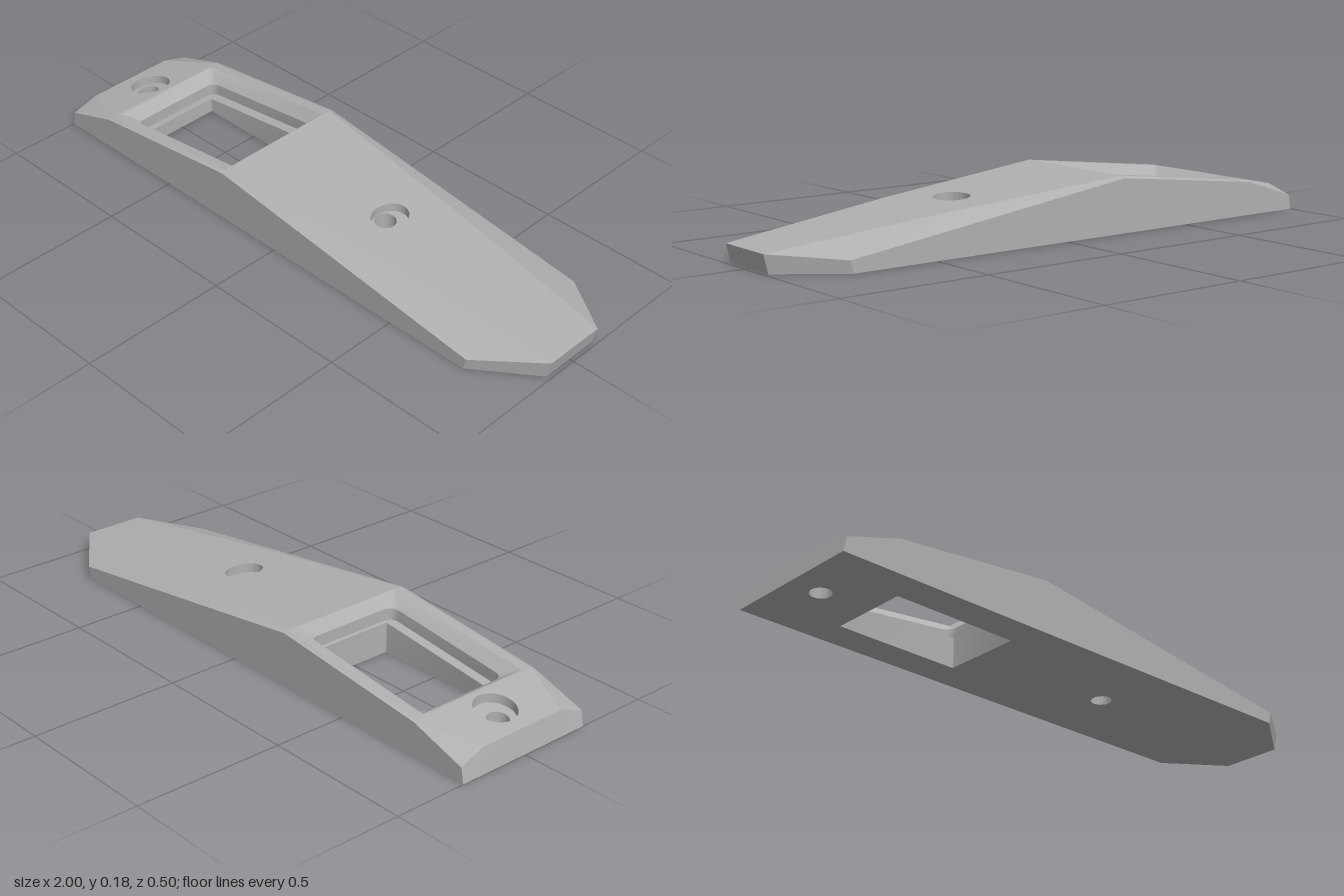
import * as THREE from 'three';
import { toCreasedNormals } from 'three/addons/utils/BufferGeometryUtils.js';

const V = (x, y, z) => new THREE.Vector3(x, y, z);
const mirror = (p) => V(p.x, p.y, -p.z);

// Crown line of the top skin: [x, height, half width]
const ridge = [[-0.985, 0.08, 0.16], [-0.8, 0.117, 0.238], [-0.235, 0.184, 0.235], [0.4, 0.126, 0.172], [1, 0.06, 0.107]]
  .map((a) => V(...a));
// Shoulder line where the top meets the side walls
const shoulder = [[-0.99, 0.05, 0.25], [-0.8, 0.112, 0.25], [-0.235, 0.178, 0.25], [0.4, 0.093, 0.25], [0.8, 0.04, 0.25]]
  .map((a) => V(...a));

// Height of the crown at x
function topY(x) {
  let i = 0;
  while (i < ridge.length - 2 && x > ridge[i + 1].x) i++;
  const a = ridge[i], b = ridge[i + 1];
  return a.y + (b.y - a.y) * (x - a.x) / (b.x - a.x);
}

// Strips of quads between successive loops of points
function loft(loops, closed) {
  const pos = [];
  for (let k = 0; k < loops.length - 1; k++) {
    const lo = loops[k], hi = loops[k + 1], n = lo.length;
    for (let i = 0; i < (closed ? n : n - 1); i++) {
      const j = (i + 1) % n;
      for (const p of [lo[i], lo[j], hi[j], lo[i], hi[j], hi[i]]) pos.push(p.x, p.y, p.z);
    }
  }
  const g = new THREE.BufferGeometry();
  g.setAttribute('position', new THREE.Float32BufferAttribute(pos, 3));
  return toCreasedNormals(g, 0.5);
}

// Filled outline with holes, laid on a height rule
function face(outline, holes, height, down = false) {
  const flat = (pts) => pts.map((p) => new THREE.Vector2(p.x, -p.z));
  const shape = new THREE.Shape(flat(outline));
  holes.forEach((h) => shape.holes.push(new THREE.Path(flat(h))));
  const g = new THREE.ShapeGeometry(shape);
  const p = g.attributes.position;
  for (let i = 0; i < p.count; i++) p.setXYZ(i, p.getX(i), height(p.getX(i)), -p.getY(i));
  if (down) g.setIndex(Array.from(g.index.array).reverse());
  g.computeVertexNormals();
  return g;
}

// Ellipse loop
function oval(cx, rx, rz, height) {
  return Array.from({ length: 40 }, (_, i) => {
    const a = i / 40 * Math.PI * 2, x = cx + rx * Math.cos(a);
    return V(x, height(x), -rz * Math.sin(a));
  });
}

// Rounded rectangle loop
function rect(x0, x1, hz, r, height) {
  const pts = [];
  for (let c = 0; c < 4; c++) {
    const sx = c === 0 || c === 3 ? 1 : -1, sz = c < 2 ? -1 : 1;
    for (let i = 0; i <= 4; i++) {
      const a = (c + i / 4) * Math.PI / 2;
      const x = (sx > 0 ? x1 - r : x0 + r) + r * Math.cos(a);
      pts.push(V(x, height(x), sz * (hz - r) - r * Math.sin(a)));
    }
  }
  return pts;
}

export function createModel() {
  const group = new THREE.Group();
  const grey = new THREE.MeshStandardMaterial({ color: 0xb0b0b0 });
  grey.name = 'plain grey';
  const add = (name, geometry) => {
    const m = new THREE.Mesh(geometry, grey);
    m.name = name;
    group.add(m);
  };
  const below = (d) => (x) => topY(x) - d;
  const ground = () => 0;

  // Openings, each as loops from the top skin down to the base
  const screwHole = (cx, rx, rz, bore) => [
    oval(cx, rx, rz, topY), oval(cx, rx, rz, below(0.03)),
    oval(bore, 0.034, 0.036, below(0.03)), oval(bore, 0.034, 0.036, ground)];
  const rearHole = screwHole(-0.878, 0.066, 0.068, -0.891);
  const frontHole = screwHole(0.262, 0.053, 0.068, 0.244);
  const windowLoops = [
    rect(-0.79, -0.237, 0.205, 0.0005, topY),
    rect(-0.745, -0.265, 0.172, 0.03, below(0.035)),
    rect(-0.745, -0.265, 0.172, 0.03, below(0.075)),
    rect(-0.718, -0.277, 0.137, 0.004, below(0.075)),
    rect(-0.718, -0.277, 0.137, 0.004, ground)];
  add('rearScrewHole', loft(rearHole, true));
  add('frontScrewHole', loft(frontHole, true));
  add('windowRecess', loft(windowLoops, true));

  // Top skin panels between the crown stations
  const cuts = [[rearHole[0]], [windowLoops[0]], [frontHole[0]], []];
  cuts.forEach((holes, i) => {
    const a = ridge[i], b = ridge[i + 1];
    add('topPanel' + (i + 1), face([a, b, mirror(b), mirror(a)], holes, topY));
  });

  // Sloping shoulders along both long edges
  add('leftShoulder', loft([shoulder, ridge], false));
  add('rightShoulder', loft([ridge.map(mirror), shoulder.map(mirror)], false));

  // Side walls and ends
  const half = [ridge[0], ...shoulder, ridge[4]];
  const rim = [...half, ...half.map(mirror).reverse()];
  const foot = rim.map((p) => V(p.x < -0.9 ? -1 : p.x > 0.9 ? 0.985 : p.x === 0.8 ? 0.79 : p.x, 0, p.z));
  add('sideWalls', loft([foot, rim], true));

  // Flat underside
  add('underside', face(foot, [rearHole[3], frontHole[3], windowLoops[4]], ground, true));
  return group;
}
